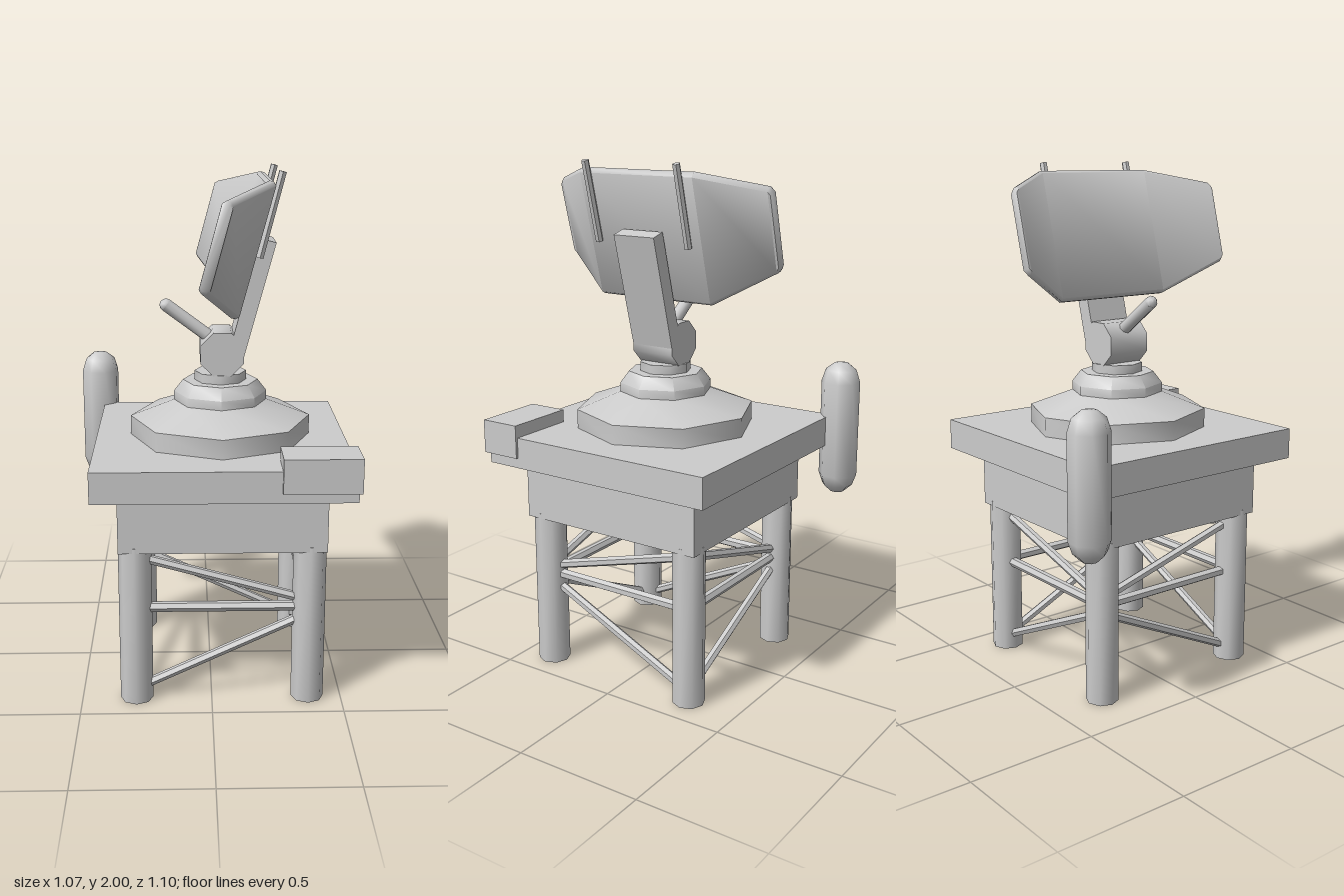
import * as THREE from 'three';
import { toCreasedNormals } from 'three/addons/utils/BufferGeometryUtils.js';

const C = 0.04; // tower axis in x and z
const LEAN = 0.265; // backward tilt of the arm and panel

export function createModel() {
  const root = new THREE.Group();
  const mat = new THREE.MeshStandardMaterial({ color: 0xcccccc });
  const V = (x, y, z) => new THREE.Vector3(x, y, z);

  function add(name, geometry, x = 0, y = 0, z = 0, parent = root) {
    const mesh = new THREE.Mesh(toCreasedNormals(geometry, 0.9), mat);
    mesh.name = name;
    mesh.position.set(x, y, z);
    parent.add(mesh);
    return mesh;
  }
  // Box given by its limits
  function box(name, x0, x1, y0, y1, z0, z1) {
    return add(name, new THREE.BoxGeometry(x1 - x0, y1 - y0, z1 - z0),
      (x0 + x1) / 2, (y0 + y1) / 2, (z0 + z1) / 2);
  }
  // Round bar between two points
  function bar(name, a, b, r, sides = 6, parent = root) {
    const mid = a.clone().add(b).multiplyScalar(0.5);
    const mesh = add(name, new THREE.CylinderGeometry(r, r, a.distanceTo(b), sides), mid.x, mid.y, mid.z, parent);
    mesh.quaternion.setFromUnitVectors(V(0, 1, 0), b.clone().sub(a).normalize());
    return mesh;
  }
  const lathe = (pts, sides) => new THREE.LatheGeometry(pts.map(p => new THREE.Vector2(...p)), sides);

  // Tower: four legs, with one zigzag of braces on each side
  const tower = new THREE.Group();
  tower.name = 'tower';
  root.add(tower);
  const corners = [[1, 1], [1, -1], [-1, -1], [-1, 1]];
  const at = ([sx, sz], y) => V(C + 0.33 * sx, y, C + 0.33 * sz);
  corners.forEach((c, i) => {
    const next = corners[(i + 1) % 4];
    const even = c[0] * c[1] > 0;
    const p = even ? c : next, q = even ? next : c;
    bar('leg', at(c, 0), at(c, 0.64), 0.063, 8, tower);
    bar('horizontalBrace', at(c, 0.38), at(next, 0.38), 0.02, 6, tower);
    bar('lowerDiagonalBrace', at(p, 0.35), at(q, 0.04), 0.018, 6, tower);
    bar('upperDiagonalBrace', at(p, 0.405), at(q, 0.59), 0.018, 6, tower);
  });

  // Platform
  box('platformSkirt', -0.35, 0.43, 0.62, 0.86, -0.35, 0.43);
  box('platformSlab', -0.443, 0.525, 0.85, 0.97, -0.447, 0.53);
  box('controlBox', 0.25, 0.535, 0.89, 1.02, 0.39, 0.55);

  // Side tank with domed ends
  const tank = add('tank', lathe([[0, 0.64], [0.03, 0.645], [0.062, 0.675], [0.078, 0.72],
    [0.078, 1.11], [0.062, 1.16], [0.03, 1.185], [0, 1.19]], 8), -0.462, 0, -0.474);
  tank.rotation.y = 0.3;

  // Turntable
  add('turntable', lathe([[0, 0.96], [0.35, 0.96], [0.35, 1.045], [0.18, 1.11], [0.18, 1.145],
    [0.145, 1.19], [0, 1.19]], 8), C, 0, C);
  add('turntableCap', new THREE.CylinderGeometry(0.1, 0.1, 0.045, 8), C, 1.203, C);

  // Hinge, leaning arm and front feed rod
  const hinge = add('hinge', new THREE.CylinderGeometry(0.09, 0.09, 0.18, 8), 0.045, 1.305, C);
  hinge.rotation.set(Math.PI / 2, Math.PI / 8, 0);
  const arm = add('arm', new THREE.BoxGeometry(0.06, 0.45, 0.18), 0.157, 1.519, C);
  arm.rotation.z = -LEAN;
  bar('feedRod', V(0.03, 1.335, C), V(-0.168, 1.482, C), 0.025, 8);
  const tip = add('feedRodTip', new THREE.SphereGeometry(0.025, 8, 6), -0.168, 1.482, C);
  tip.rotation.z = 0.9;

  // Antenna panel: a middle plate with two wings swept forward
  const panel = add('antennaPanel', panelGeometry(), 0.145, 1.72, 0.047);
  panel.rotation.z = -LEAN;

  // Thin rods on the back of the panel
  for (const z of [-0.155, 0.25]) bar('backRod', V(0.175, 1.69, z), V(0.254, 1.995, z), 0.015);

  return root;
}

// Lofts bevelled cross-sections along z; each station is [z, forward shift, half height]
function panelGeometry() {
  const stations = [[0.475, -0.14, 0.15], [0.465, -0.14, 0.162], [0.25, 0, 0.253],
    [-0.25, 0, 0.253], [-0.465, -0.14, 0.162], [-0.475, -0.14, 0.15]];
  const t = 0.02, b = 0.012;
  const pos = [], idx = [];
  for (const [z, s, h] of stations) {
    const ring = [[-t, -h + b], [-t + b, -h], [t - b, -h], [t, -h + b],
      [t, h - b], [t - b, h], [-t + b, h], [-t, h - b]];
    for (const [x, y] of ring) pos.push(x + s, y, z);
  }
  const n = 8, last = (stations.length - 1) * n;
  for (let i = 0; i < stations.length - 1; i++) {
    for (let j = 0; j < n; j++) {
      const a = i * n + j, c = i * n + (j + 1) % n;
      idx.push(a, a + n, c, c, a + n, c + n);
    }
  }
  for (let j = 1; j < n - 1; j++) {
    idx.push(0, j, j + 1);
    idx.push(last, last + j + 1, last + j);
  }
  const g = new THREE.BufferGeometry();
  g.setAttribute('position', new THREE.Float32BufferAttribute(pos, 3));
  g.setIndex(idx);
  g.computeVertexNormals();
  return g;
}
